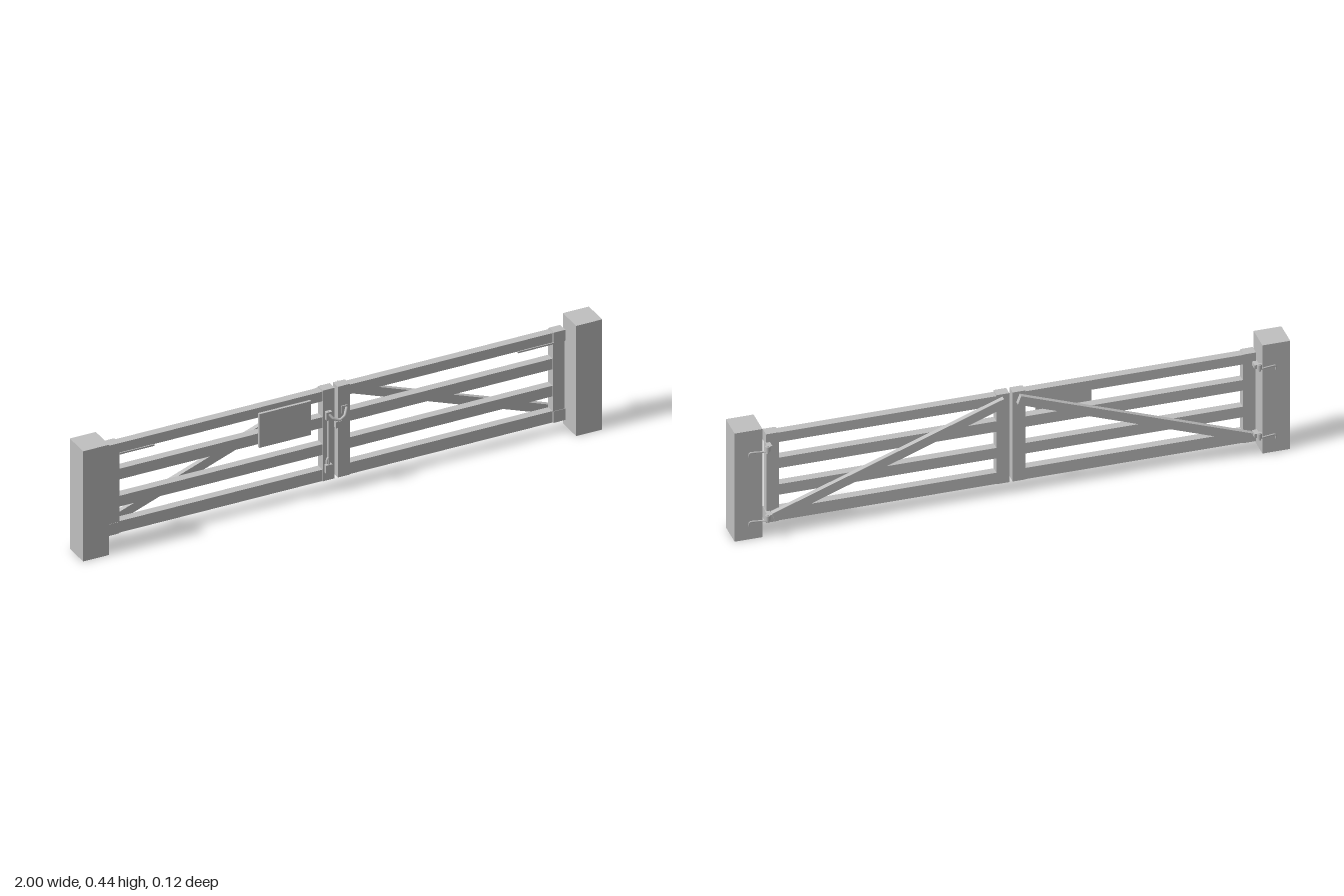
import * as THREE from 'three';

export function createModel() {
  const root = new THREE.Group();
  root.name = 'doubleGate';
  const grey = new THREE.MeshStandardMaterial({ color: 0xc0c0c0 });
  grey.name = 'plainGrey';

  const add = (parent, name, geo) => {
    const mesh = new THREE.Mesh(geo, grey);
    mesh.name = name;
    parent.add(mesh);
    return mesh;
  };
  // Box given by its limits on each axis
  const box = (parent, name, [x0, x1], [y0, y1], [z0, z1]) => {
    const mesh = add(parent, name, new THREE.BoxGeometry(Math.abs(x1 - x0), y1 - y0, z1 - z0));
    mesh.position.set((x0 + x1) / 2, (y0 + y1) / 2, (z0 + z1) / 2);
    return mesh;
  };
  // Round bar through a few points
  const rod = (parent, name, pts, r, steps = 16) => {
    const curve = new THREE.CatmullRomCurve3(pts.map(p => new THREE.Vector3(...p)), false, 'catmullrom', 0.2);
    return add(parent, name, new THREE.TubeGeometry(curve, steps, r, 8));
  };
  const cyl = (parent, name, r, h, x, y, z) => {
    const mesh = add(parent, name, new THREE.CylinderGeometry(r, r, h, 12));
    mesh.position.set(x, y, z);
    return mesh;
  };

  for (const s of [-1, 1]) {
    const side = new THREE.Group();
    side.name = s > 0 ? 'leftSide' : 'rightSide';
    root.add(side);
    const X = (a, b) => [s * a, s * b];

    box(side, 'post', X(0.9, 1), [0, 0.435], [-0.038, 0.062]);

    // Leaf frame and rails
    box(side, 'hingeStile', X(0.835, 0.88), [0.045, 0.4], [-0.022, 0.014]);
    box(side, 'meetingStile', X(0.006, 0.052), [0.045, 0.403], [-0.022, 0.014]);
    for (const [y0, y1] of [[0.045, 0.09], [0.148, 0.19], [0.255, 0.297], [0.36, 0.398]])
      box(side, 'rail', X(0.05, 0.837), [y0, y1], [-0.02, 0.011]);

    // Diagonal brace across the back
    const a = [0.025, 0.378], b = [0.86, 0.072];
    const dx = b[0] - a[0], dy = b[1] - a[1];
    const brace = add(side, 'brace', new THREE.BoxGeometry(Math.hypot(dx, dy), 0.034, 0.018));
    brace.position.set(s * (a[0] + b[0]) / 2, (a[1] + b[1]) / 2, -0.031);
    brace.rotation.z = s * Math.atan2(dy, dx);

    // Top strap on the front and bands round the hinge stile
    box(side, 'strap', X(0.7, 0.84), [0.355, 0.361], [0.008, 0.015]);
    for (const [y0, y1] of [[0.045, 0.09], [0.358, 0.401]])
      box(side, 'stileBand', X(0.838, 0.882), [y0, y1], [-0.023, 0.0155]);

    // Hinges: eye on the leaf, hook bent into the back of the post
    for (const y of [0.36, 0.083]) {
      const hinge = new THREE.Group();
      hinge.name = 'hinge';
      side.add(hinge);
      cyl(hinge, 'eye', 0.009, 0.02, s * 0.885, y, -0.051);
      cyl(hinge, 'pin', 0.005, 0.03, s * 0.885, y - 0.003, -0.051);
      box(hinge, 'eyeArm', X(0.868, 0.885), [y - 0.008, y + 0.008], [-0.051, -0.018]);
      rod(hinge, 'hook', [[s * 0.885, y - 0.012, -0.05], [s * 0.915, y - 0.012, -0.044],
        [s * 0.944, y - 0.012, -0.04], [s * 0.948, y - 0.018, -0.039], [s * 0.948, y - 0.03, -0.038]], 0.003);
    }
  }

  // Notice board
  box(root, 'board', [-0.3, -0.1], [0.245, 0.378], [0.011, 0.021]);

  // Drop bolt on the meeting stile
  const bolt = new THREE.Group();
  bolt.name = 'dropBolt';
  root.add(bolt);
  cyl(bolt, 'boltRod', 0.005, 0.215, -0.033, 0.205, 0.021);
  box(bolt, 'lowerKeeper', [-0.046, -0.022], [0.08, 0.112], [0.013, 0.028]);
  box(bolt, 'upperKeeper', [-0.044, -0.022], [0.288, 0.32], [0.013, 0.028]);
  rod(bolt, 'boltHandle', [[-0.033, 0.14, 0.021], [-0.042, 0.135, 0.026], [-0.044, 0.12, 0.028]], 0.004, 8);

  // Chain with padlock joining the two leaves
  const latch = new THREE.Group();
  latch.name = 'latch';
  root.add(latch);
  box(latch, 'latchPlate', [0.018, 0.042], [0.295, 0.325], [0.013, 0.018]);
  rod(latch, 'chain', [[-0.038, 0.318, 0.02], [-0.022, 0.296, 0.034], [0, 0.286, 0.038],
    [0.022, 0.296, 0.034], [0.038, 0.318, 0.018]], 0.005, 20);
  box(latch, 'padlock', [-0.014, 0.01], [0.256, 0.28], [0.026, 0.038]);
  const shackle = add(latch, 'shackle', new THREE.TorusGeometry(0.009, 0.0025, 6, 12, Math.PI));
  shackle.position.set(-0.002, 0.28, 0.032);

  return root;
}
